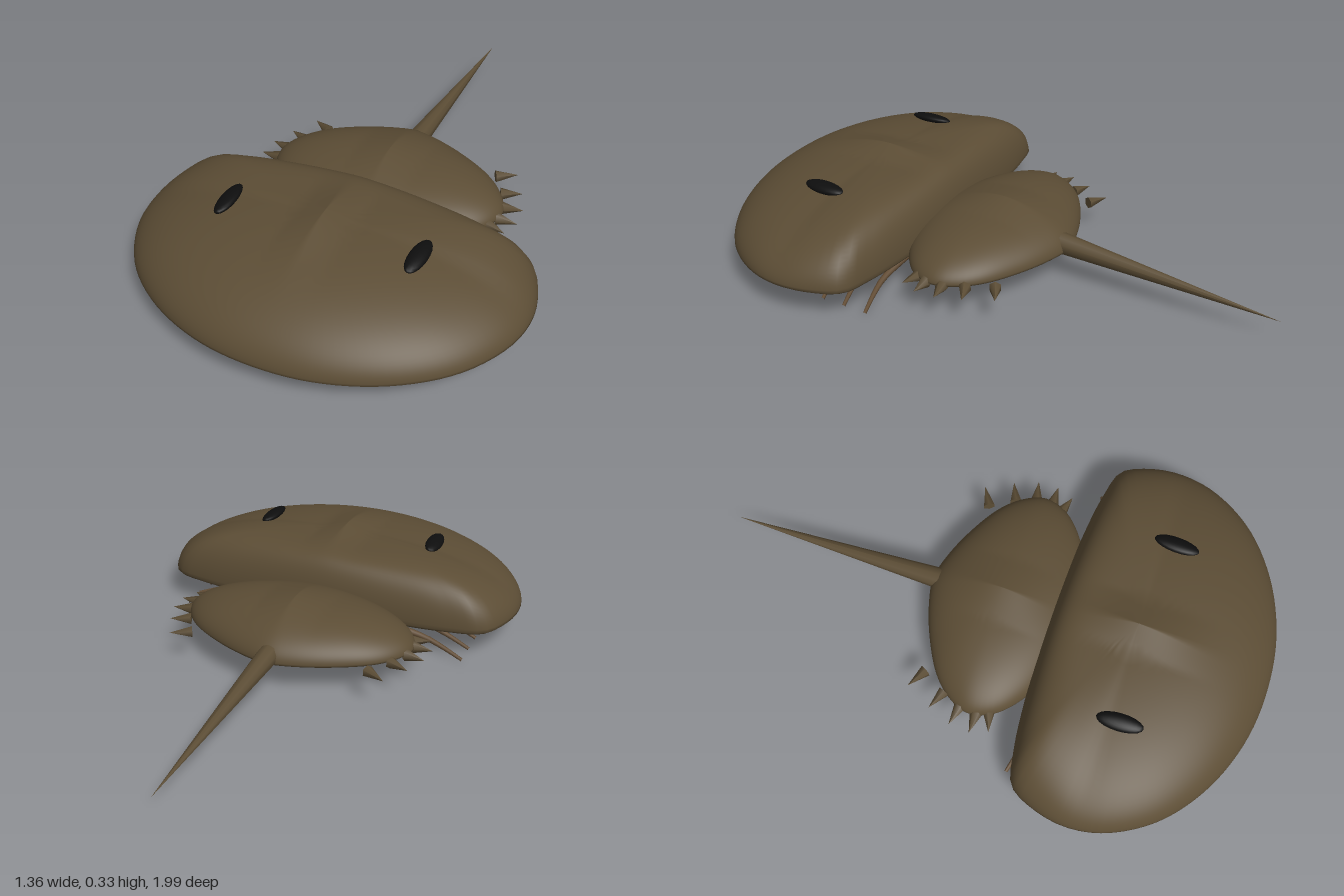
import * as THREE from 'three';

const shellMat = new THREE.MeshStandardMaterial({ color: 0x5c4d35 });
shellMat.name = 'olive brown shell';
const legMat = new THREE.MeshStandardMaterial({ color: 0x624c34 });
legMat.name = 'brown limb';
const eyeMat = new THREE.MeshStandardMaterial({ color: 0x0e0e0e });
eyeMat.name = 'black eye';

function add(parent, name, geometry, material) {
  const mesh = new THREE.Mesh(geometry, material);
  mesh.name = name;
  parent.add(mesh);
  return mesh;
}

// Closed dome: a mirrored outline shrunk towards its centre in rings, over a shallow belly.
function domeGeometry({ half, centreZ, rim, rise, rearPower, belly, ridge }) {
  const loop = half.concat(half.slice(1, -1).reverse().map(([x, z]) => [-x, z]));
  const curve = new THREE.CatmullRomCurve3(loop.map(([x, z]) => new THREE.Vector3(x, 0, z)), true);
  const segments = 96, topRings = 30;
  const outline = curve.getSpacedPoints(segments).slice(0, segments);
  const rings = [];
  for (let i = 0; i <= topRings; i++) rings.push({ s: Math.sin((i / topRings) * Math.PI / 2), top: true });
  rings.push({ s: 0.985, y: rim - 0.35 * (rim - belly) }, { s: 0.94, y: rim - 0.75 * (rim - belly) });
  rings.push({ s: 0.7, y: belly }, { s: 0, y: belly });

  const positions = [], index = [];
  rings.forEach(({ s, y, top }) => outline.forEach((p) => {
    const dz = p.z - centreZ, x = p.x * s, z = centreZ + dz * s;
    const rear = Math.max(0, -dz / Math.hypot(p.x, dz));
    const power = 2.3 + rearPower * rear;
    let h = y;
    if (top) {
      h = rim + rise * Math.pow(Math.max(0, 1 - Math.pow(s, power)), 0.55);
      const along = Math.exp(-Math.pow((z - centreZ) / ridge.length, 2));
      h += ridge.height * along * Math.max(0, 1 - Math.abs(x) / ridge.width) * (1 - s * s);
    }
    positions.push(x, h, z);
  }));
  for (let i = 0; i < rings.length - 1; i++) {
    for (let j = 0; j < segments; j++) {
      const k = (j + 1) % segments;
      const a = i * segments + j, b = a + segments, c = (i + 1) * segments + k, d = i * segments + k;
      if (rings[i + 1].s > 0) index.push(a, b, c);
      if (rings[i].s > 0) index.push(a, c, d);
      if (rings[i + 1].s === 0) index.push(a, b, d);
    }
  }
  const geometry = new THREE.BufferGeometry();
  geometry.setAttribute('position', new THREE.Float32BufferAttribute(positions, 3));
  geometry.setIndex(index);
  geometry.computeVertexNormals();
  return geometry;
}

// Straight cone from a base point to a tip.
function spike(parent, name, base, tip, radius, sides, material) {
  const direction = tip.clone().sub(base);
  const geometry = new THREE.ConeGeometry(radius, direction.length(), sides);
  const mesh = add(parent, name, geometry, material);
  mesh.position.copy(base).add(tip).multiplyScalar(0.5);
  mesh.quaternion.setFromUnitVectors(new THREE.Vector3(0, 1, 0), direction.normalize());
}

// Tube whose rings shrink along its length.
function taperedTube(points, r0, r1) {
  const curve = new THREE.CatmullRomCurve3(points);
  const steps = 12, sides = 8;
  const geometry = new THREE.TubeGeometry(curve, steps, 1, sides);
  const pos = geometry.attributes.position, v = new THREE.Vector3();
  for (let i = 0; i < pos.count; i++) {
    const t = Math.floor(i / (sides + 1)) / steps;
    const centre = curve.getPointAt(t);
    v.fromBufferAttribute(pos, i).sub(centre).multiplyScalar(r0 + (r1 - r0) * t).add(centre);
    pos.setXYZ(i, v.x, v.y, v.z);
  }
  geometry.computeVertexNormals();
  return geometry;
}

export function createModel() {
  const model = new THREE.Group();
  model.name = 'horseshoeCrab';

  // Broad front shell
  add(model, 'frontShell', domeGeometry({
    half: [[0, 0.99], [0.2, 0.968], [0.4, 0.89], [0.56, 0.765], [0.655, 0.61], [0.68, 0.48],
      [0.66, 0.36], [0.61, 0.267], [0.5, 0.235], [0.3, 0.212], [0, 0.2]],
    centreZ: 0.5, rim: 0.11, rise: 0.197, rearPower: 6, belly: 0.087,
    ridge: { height: 0.028, width: 0.1, length: 0.2 },
  }), shellMat);

  // Rear shell tucked under the front shell
  add(model, 'rearShell', domeGeometry({
    half: [[0, 0.3], [0.15, 0.28], [0.31, 0.21], [0.4, 0.125], [0.425, 0.04], [0.395, -0.035],
      [0.33, -0.105], [0.2, -0.18], [0.08, -0.225], [0, -0.24]],
    centreZ: 0.02, rim: 0.115, rise: 0.115, rearPower: 0, belly: 0.1,
    ridge: { height: 0.02, width: 0.12, length: 0.15 },
  }), shellMat);

  // Long tail spine
  spike(model, 'tail', new THREE.Vector3(0, 0.132, -0.21), new THREE.Vector3(0, 0.08, -1), 0.038, 10, shellMat);

  // Side spines: base x, base z, tip x, tip z
  const spines = [
    [0.33, -0.145, 0.4, -0.185], [0.38, -0.06, 0.45, -0.09], [0.41, 0.01, 0.483, -0.005],
    [0.415, 0.07, 0.487, 0.07], [0.395, 0.11, 0.463, 0.132],
  ];
  for (const side of [1, -1]) {
    const word = side > 0 ? 'left' : 'right';
    spines.forEach(([bx, bz, tx, tz], i) => {
      spike(model, `${word}Spine${i + 1}`, new THREE.Vector3(side * bx, 0.112, bz),
        new THREE.Vector3(side * tx, 0.112, tz), 0.022, 6, shellMat);
    });

    // Five bent walking legs
    for (let i = 0; i < 5; i++) {
      const z = 0.595 - i * 0.087;
      const path = [[0.13, 0.087, 0], [0.27, 0.073, 0.008], [0.4, 0.05, 0.012], [0.47, 0.032, 0], [0.55, 0.008, -0.02]]
        .map(([x, y, dz]) => new THREE.Vector3(side * x, y, z + dz));
      add(model, `${word}Leg${i + 1}`, taperedTube(path, 0.018, 0.006), legMat);
    }

    // Bean-shaped eye
    const eye = add(model, `${word}Eye`, new THREE.SphereGeometry(1, 20, 12), eyeMat);
    eye.scale.set(0.03, 0.016, 0.08);
    eye.position.set(side * 0.33, 0.294, 0.54);
    eye.rotation.set(0, side * -0.04, side * -0.2);
  }
  return model;
}
